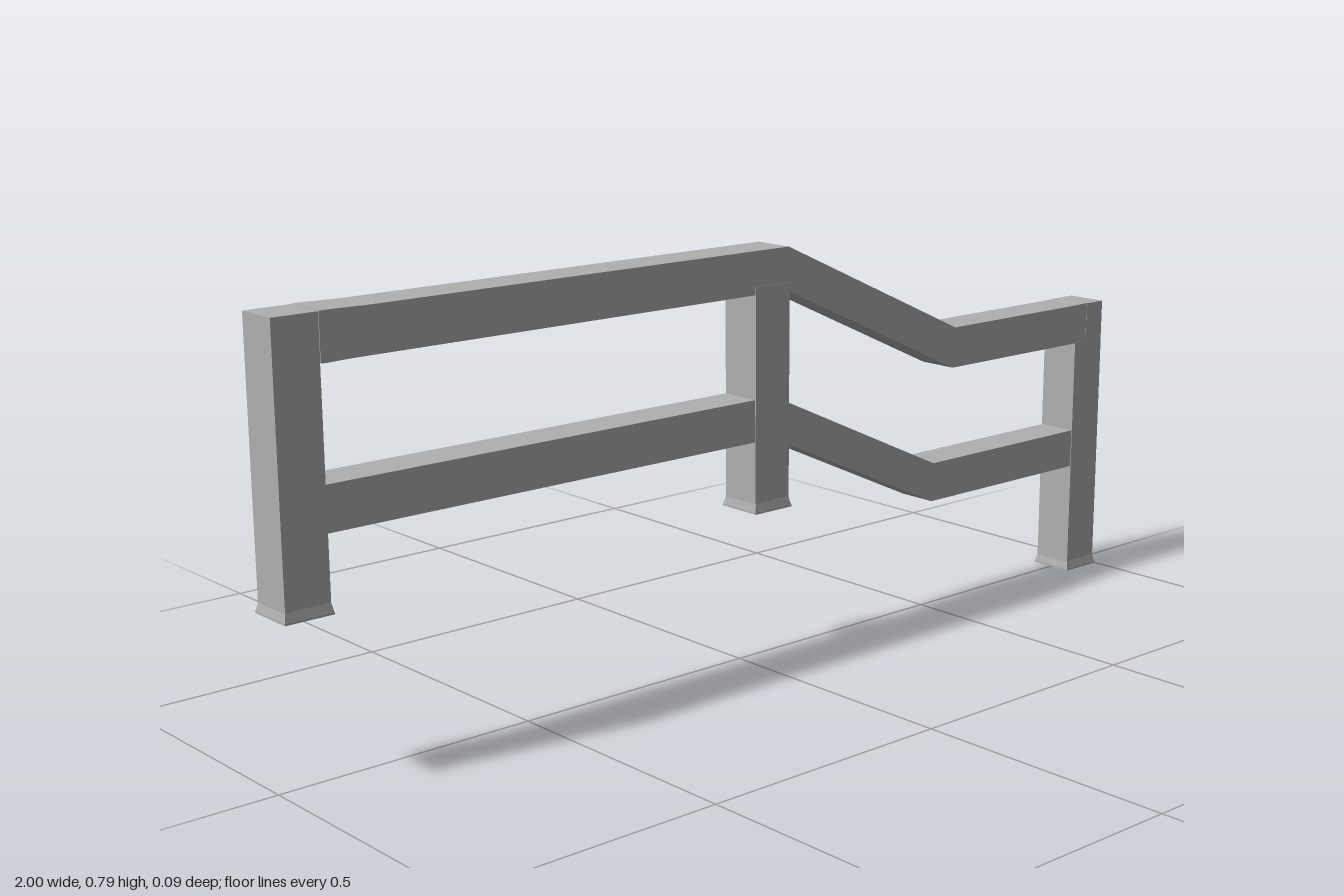
import * as THREE from 'three';

const steel = new THREE.MeshStandardMaterial({ color: 0xb0b0b0 });
steel.name = 'grey';

function add(parent, name, geometry, x = 0, y = 0, z = 0) {
  const mesh = new THREE.Mesh(geometry, steel);
  mesh.name = name;
  mesh.position.set(x, y, z);
  parent.add(mesh);
  return mesh;
}

// Square frustum along y, given full widths at top and bottom
function frustum(top, bottom, height) {
  const g = new THREE.CylinderGeometry(top / Math.SQRT2, bottom / Math.SQRT2, height, 4)
    .rotateY(Math.PI / 4).toNonIndexed();
  g.computeVertexNormals();
  return g;
}

// Side outline in x, y extruded through the rail's thickness
function railGeometry(points, width) {
  const shape = new THREE.Shape(points.map(([x, y]) => new THREE.Vector2(x, y)));
  return new THREE.ExtrudeGeometry(shape, { depth: width, bevelEnabled: false })
    .translate(0, 0, -width / 2);
}

// Square post with a slightly flared foot
function addPost(parent, name, x, bottom, top) {
  const post = new THREE.Group();
  post.name = name;
  const h = top - bottom;
  add(post, 'shaft', new THREE.BoxGeometry(0.084, h - 0.004, 0.083), x, bottom + 0.004 + (h - 0.004) / 2);
  add(post, 'footFlare', frustum(0.083, 0.09, 0.016), x, bottom + 0.012);
  add(post, 'footPlate', new THREE.BoxGeometry(0.091, 0.004, 0.091), x, bottom + 0.002);
  parent.add(post);
}

export function createModel() {
  const model = new THREE.Group();
  model.name = 'handrail';

  // Posts step down along the run
  addPost(model, 'highPost', -0.953, 0.297, 0.787);
  addPost(model, 'middlePost', 0.045, 0.293, 0.72);
  addPost(model, 'lowPost', 0.953, 0, 0.5);

  // Level, sloping and level again
  add(model, 'topRail', railGeometry([
    [-0.915, 0.705], [0.082, 0.705], [0.535, 0.497], [0.992, 0.497],
    [0.992, 0.578], [0.54, 0.578], [0.085, 0.786], [-0.915, 0.786],
  ], 0.081));
  add(model, 'lowerRail', railGeometry([
    [-0.915, 0.43], [0.05, 0.43], [0.482, 0.231], [0.915, 0.231],
    [0.915, 0.309], [0.485, 0.309], [0.05, 0.51], [-0.915, 0.51],
  ], 0.08));

  // Collar where the top rail meets the high post
  add(model, 'railCollar', new THREE.BoxGeometry(0.012, 0.083, 0.084), -0.904, 0.746);
  const sleeve = frustum(0.0805, 0.084, 0.075).rotateZ(-Math.PI / 2);
  add(model, 'collarSleeve', sleeve, -0.866, 0.746);

  // Corner cap over the low post
  add(model, 'cornerCap', new THREE.BoxGeometry(0.05, 0.081, 0.084), 0.969, 0.538);
  const capSleeve = frustum(0.0805, 0.083, 0.03).rotateZ(Math.PI / 2);
  add(model, 'capSleeve', capSleeve, 0.93, 0.538);

  return model;
}
